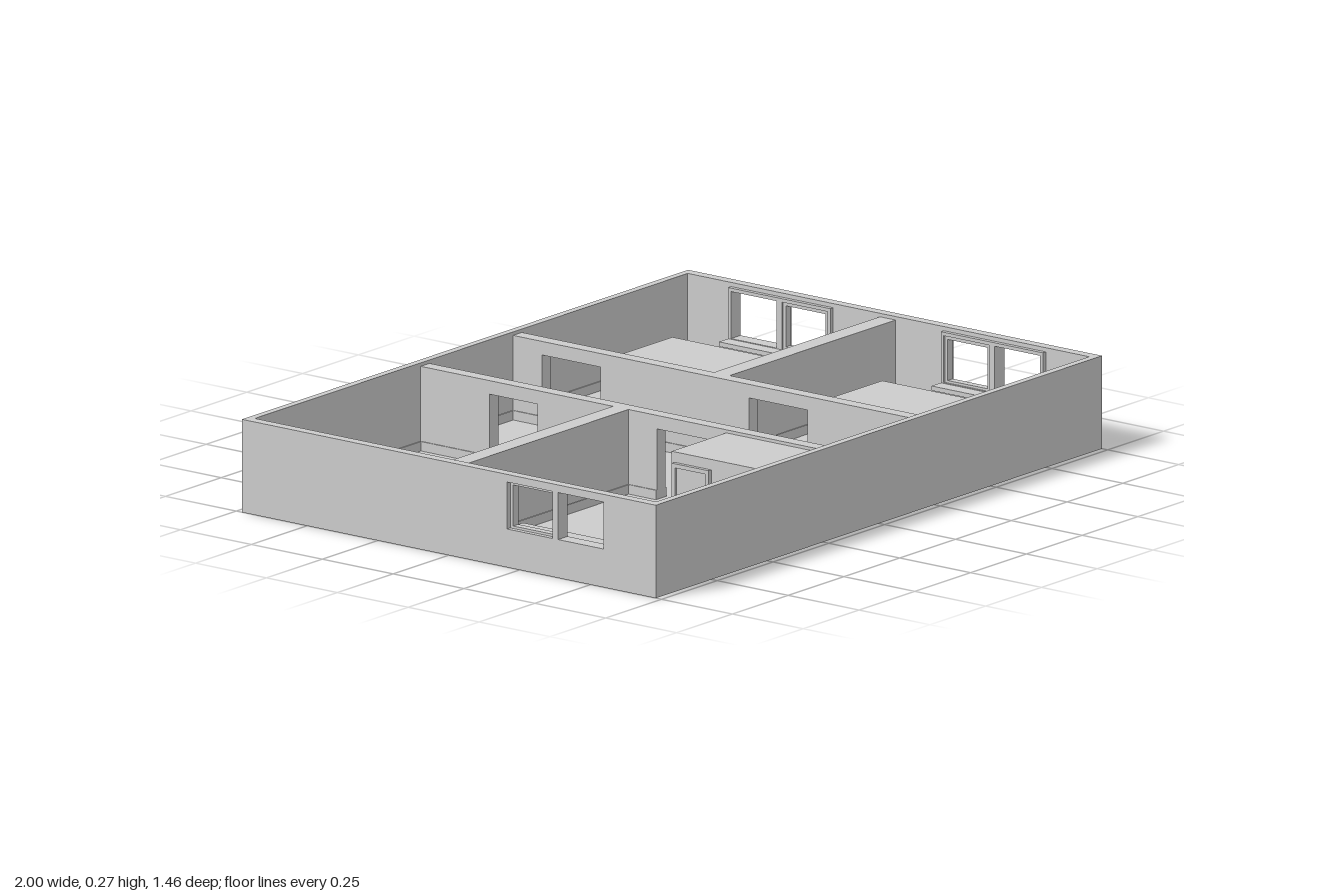
import * as THREE from 'three';

const material = new THREE.MeshStandardMaterial({ color: 0xcccccc, flatShading: true });

// Box given by its limits on each axis
function box(parent, name, [x0, x1], [y0, y1], [z0, z1]) {
  const geometry = new THREE.BoxGeometry(x1 - x0, y1 - y0, z1 - z0);
  const mesh = new THREE.Mesh(geometry, material);
  mesh.position.set((x0 + x1) / 2, (y0 + y1) / 2, (z0 + z1) / 2);
  mesh.name = name;
  parent.add(mesh);
  return mesh;
}

function rectangle(Type, [z0, z1, y0, y1]) {
  return new Type([[z0, y0], [z1, y0], [z1, y1], [z0, y1]].map(p => new THREE.Vector2(...p)));
}

// Panel in the z-y plane with rectangular openings, filling x0..x1
function panel(parent, name, [x0, x1], outline, openings) {
  const shape = rectangle(THREE.Shape, outline);
  shape.holes = openings.map(o => rectangle(THREE.Path, o));
  const geometry = new THREE.ExtrudeGeometry(shape, { depth: x1 - x0, bevelEnabled: false });
  geometry.rotateY(-Math.PI / 2).translate(x1, 0, 0);
  const mesh = new THREE.Mesh(geometry, material);
  mesh.name = name;
  parent.add(mesh);
}

const H = 0.267, INNER = 0.257, FLOOR = 0.015, Z = 0.73;
const span = (side, a, b) => side > 0 ? [a, b] : [-b, -a];

// The two panes of a window: the one near the middle holds a sash
function panes(end) {
  return [
    [...span(end, 0.385, 0.545), 0.11, 0.245],
    [...span(end, 0.205, 0.365), 0.11, 0.245],
  ];
}

function addWindow(parent, side, end) {
  const group = new THREE.Group();
  group.name = 'window';
  const [outer, inner] = panes(end);
  panel(group, 'windowFrame', span(side, 0.957, 0.972), [...span(end, 0.195, 0.555), 0.1, 0.255], [outer, inner]);
  const [z0, z1, y0, y1] = inner;
  panel(group, 'sash', span(side, 0.962, 0.985), inner, [[z0 + 0.01, z1 - 0.01, y0 + 0.007, y1 - 0.01]]);
  box(group, 'windowSill', span(side, 0.915, 0.99), [0.095, 0.108], span(end, 0.195, 0.555));
  parent.add(group);
}

// Closed bathroom cubicle with a door and lever handle facing the room
function addCubicle(parent, side, z0, z1) {
  const group = new THREE.Group();
  group.name = 'cubicle';
  box(group, 'cubicleBody', span(side, 0.215, 0.472), [0, 0.248], [z0, z1]);
  const d = z0 + 0.01, top = 0.218;
  panel(group, 'doorFrame', span(side, 0.47, 0.484), [d, d + 0.13, FLOOR, top],
    [[d + 0.012, d + 0.118, FLOOR + 0.004, top - 0.012]]);
  box(group, 'door', span(side, 0.47, 0.477), [FLOOR, top - 0.01], [d + 0.01, d + 0.12]);
  box(group, 'handleStem', span(side, 0.475, 0.498), [0.107, 0.113], [d + 0.017, d + 0.023]);
  box(group, 'handleLever', span(side, 0.493, 0.498), [0.107, 0.113], [d + 0.017, d + 0.042]);
  parent.add(group);
}

// Skirting strips along the four sides of a room
function addSkirting(parent, [x0, x1], [z0, z1], doors) {
  const t = 0.003, y = [FLOOR, 0.042];
  for (const z of [[z0, z0 + t], [z1 - t, z1]]) box(parent, 'skirting', [x0, x1], y, z);
  [x0, x1].forEach((x, i) => {
    let start = z0;
    const gaps = doors.filter(d => d.x === Math.sign(x) && Math.abs(x) < 0.3 && d.z[0] > z0 && d.z[1] < z1);
    for (const gap of [...gaps.map(d => d.z), [z1, z1]]) {
      box(parent, 'skirting', i ? [x - t, x] : [x, x + t], y, [start, gap[0]]);
      start = gap[1];
    }
  });
}

export function createModel() {
  const model = new THREE.Group();
  model.name = 'floorPlan';

  box(model, 'floor', [-0.99, 0.99], [0, FLOOR], [-0.72, 0.72]);

  // Outer walls; the model's left side has two windows, its right side one
  for (const end of [1, -1]) box(model, 'endWall', [-1, 1], [0, H], span(end, 0.708, Z));
  const windows = { 1: [-1, 1], '-1': [1] };
  for (const side of [1, -1]) {
    panel(model, 'sideWall', span(side, 0.97, 1), [-0.708, 0.708, 0, H], windows[side].flatMap(panes));
    for (const end of windows[side]) addWindow(model, side, end);
  }

  // Corridor walls with door openings, and walls between the rooms
  const doors = [
    { x: -1, z: [-0.465, -0.295] }, { x: -1, z: [0.125, 0.33] },
    { x: 1, z: [-0.605, -0.4] }, { x: 1, z: [0.125, 0.33] },
  ];
  for (const side of [1, -1]) {
    const openings = doors.filter(d => d.x === side).map(d => [...d.z, FLOOR, 0.218]);
    panel(model, 'corridorWall', span(side, 0.187, 0.227), [-0.71, 0.71, 0, INNER], openings);
    box(model, 'partitionWall', span(side, 0.225, 0.972), [0, INNER], [-0.03, 0.025]);
    for (const z of [[-0.708, -0.03], [0.025, 0.708]]) addSkirting(model, span(side, 0.227, 0.97), z, doors);
  }
  addSkirting(model, [-0.187, 0.187], [-0.708, 0.708], doors);

  // Bathroom cubicles in three of the four rooms
  addCubicle(model, 1, -0.37, -0.025);
  addCubicle(model, 1, 0.37, 0.71);
  addCubicle(model, -1, 0.37, 0.71);

  return model;
}
